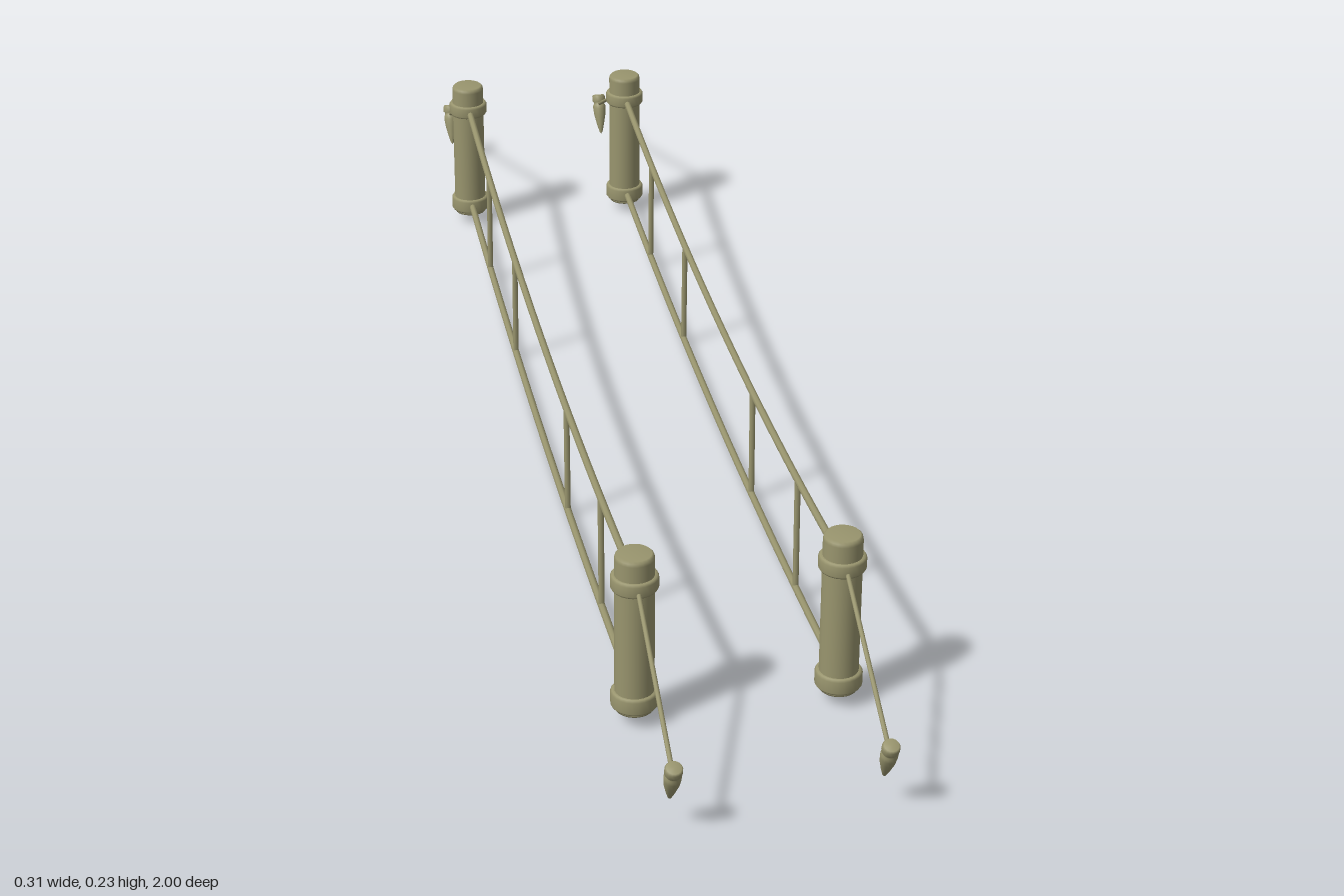
import * as THREE from 'three';

const SIDE_X = 0.127, POST_Z = 0.74;
const material = new THREE.MeshStandardMaterial({ color: 0x99956e, side: THREE.DoubleSide });

function add(parent, name, geometry) {
  const mesh = new THREE.Mesh(geometry, material);
  mesh.name = name;
  parent.add(mesh);
  return mesh;
}

// Lathe with sharp corners kept: each profile is a list of [radius, y]
function lathe(points, sides) {
  const profile = points.map(([r, y]) => new THREE.Vector2(r, y));
  return new THREE.LatheGeometry(profile, sides);
}

// Ring with softened edges, open in the middle where the post passes
function bandGeometry(y0, y1) {
  return lathe([[0.024, y0], [0.0275, y0], [0.0295, y0 + 0.003],
    [0.0295, y1 - 0.003], [0.0275, y1], [0.024, y1]], 24);
}

// Straight thin rope between two points
function rod(parent, name, a, b, radius) {
  const mesh = add(parent, name, new THREE.CylinderGeometry(radius, radius, a.distanceTo(b), 8));
  mesh.position.copy(a).lerp(b, 0.5);
  mesh.quaternion.setFromUnitVectors(new THREE.Vector3(0, 1, 0), b.clone().sub(a).normalize());
}

// Sagging rope heights along z
const topY = z => 0.158 + 0.038 * (z / POST_Z) ** 2;
const bottomY = z => 0.005 + 0.03 * (z / POST_Z) ** 2;

function saggingRope(parent, name, height) {
  const points = [];
  for (let i = 0; i <= 12; i++) {
    const z = -POST_Z + (i / 12) * 2 * POST_Z;
    points.push(new THREE.Vector3(0, height(z), z));
  }
  add(parent, name, new THREE.TubeGeometry(new THREE.CatmullRomCurve3(points), 36, 0.005, 8));
}

function createPost() {
  const post = new THREE.Group();
  post.name = 'post';
  add(post, 'postShaft', lathe([[0, 0.016], [0.0235, 0.016], [0.0245, 0.019], [0.0245, 0.227],
    [0.0235, 0.231], [0.021, 0.2335], [0, 0.2335]], 24));
  add(post, 'upperBand', bandGeometry(0.186, 0.205));
  add(post, 'lowerBand', bandGeometry(0.021, 0.043));
  return post;
}

// Ground peg: grooved head, swelling body and a point
function createPeg() {
  const peg = add(new THREE.Group(), 'peg', lathe([[0, -0.066], [0.0025, -0.063], [0.006, -0.05],
    [0.0095, -0.034], [0.0105, -0.024], [0.0105, -0.018], [0.0088, -0.016], [0.0088, -0.0125],
    [0.0108, -0.011], [0.0108, -0.003], [0.009, 0], [0, 0]], 16));
  peg.position.set(0, 0.097, 0.99);
  peg.rotation.x = 0.42;
  return peg;
}

function createRailing() {
  const railing = new THREE.Group();
  railing.name = 'ropeRailing';
  saggingRope(railing, 'handRope', topY);
  saggingRope(railing, 'footRope', bottomY);

  // Vertical ties between the two ropes
  for (const z of [-0.503, -0.235, 0.235, 0.503]) {
    const low = z + Math.sign(z) * 0.004;
    rod(railing, 'verticalTie', new THREE.Vector3(0, bottomY(low), low),
      new THREE.Vector3(0, topY(z), z), 0.004);
  }

  // Post, guy rope and peg at each end
  for (const turn of [0, Math.PI]) {
    const end = new THREE.Group();
    end.name = 'anchorEnd';
    end.rotation.y = turn;
    const post = createPost();
    post.position.z = POST_Z;
    end.add(post, createPeg());
    rod(end, 'guyRope', new THREE.Vector3(0, 0.196, POST_Z + 0.02),
      new THREE.Vector3(0, 0.083, 0.983), 0.003);
    railing.add(end);
  }
  return railing;
}

export function createModel() {
  const model = new THREE.Group();
  model.name = 'ropeBridgeRailings';
  for (const side of [-1, 1]) {
    const railing = createRailing();
    railing.position.x = side * SIDE_X;
    model.add(railing);
  }
  return model;
}
